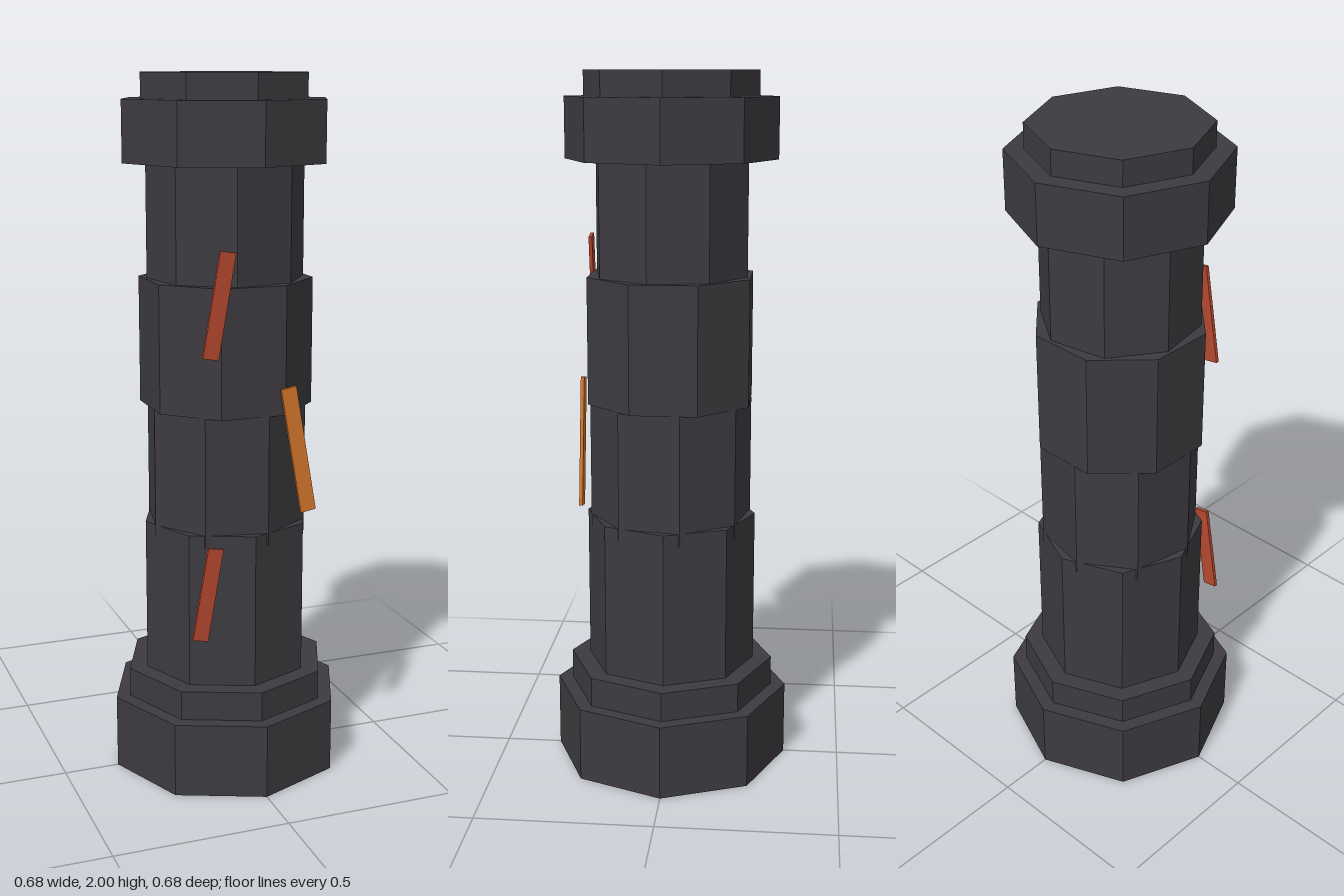
import * as THREE from 'three';

export function createModel() {
  const model = new THREE.Group();
  const stone = new THREE.MeshStandardMaterial({ color: 0x3d3b40, flatShading: true });
  stone.name = 'dark stone';
  const red = new THREE.MeshStandardMaterial({ color: 0xb5482e, flatShading: true });
  red.name = 'ember red';
  const orange = new THREE.MeshStandardMaterial({ color: 0xd4762d, flatShading: true });
  orange.name = 'ember orange';

  // Octagonal blocks: name, radius, bottom, top, twist in degrees
  const blocks = [
    ['base', 0.34, 0, 0.215, 0],
    ['plinth', 0.298, 0.215, 0.3, 0],
    ['lowerDrum', 0.244, 0.3, 0.745, 0],
    ['lowerMiddleDrum', 0.2325, 0.71, 1.08, 11],
    ['upperMiddleDrum', 0.2455, 1.08, 1.44, 22.3],
    ['upperDrum', 0.2225, 1.44, 1.76, 33],
    ['capital', 0.298, 1.76, 1.93, 0],
    ['capTop', 0.244, 1.93, 2.0, 0],
  ];
  for (const [name, radius, bottom, top, twist] of blocks) {
    const geometry = new THREE.CylinderGeometry(radius, radius, top - bottom, 8);
    const mesh = new THREE.Mesh(geometry, stone);
    mesh.name = name;
    mesh.position.y = (bottom + top) / 2;
    mesh.rotation.y = THREE.MathUtils.degToRad(twist);
    model.add(mesh);
  }

  // Slanted glowing cracks on the front: name, x, y, length, tilt in degrees, material
  const cracks = [
    ['upperCrack', -0.106, 1.397, 0.29, -10, red],
    ['middleCrack', 0.127, 0.982, 0.362, 10, orange],
    ['lowerCrack', -0.14, 0.59, 0.268, -10, red],
  ];
  for (const [name, x, y, length, tilt, material] of cracks) {
    const mesh = new THREE.Mesh(new THREE.BoxGeometry(0.045, length, 0.0099), material);
    mesh.name = name;
    mesh.position.set(x, y, 0.238);
    mesh.rotation.z = THREE.MathUtils.degToRad(tilt);
    model.add(mesh);
  }
  return model;
}
